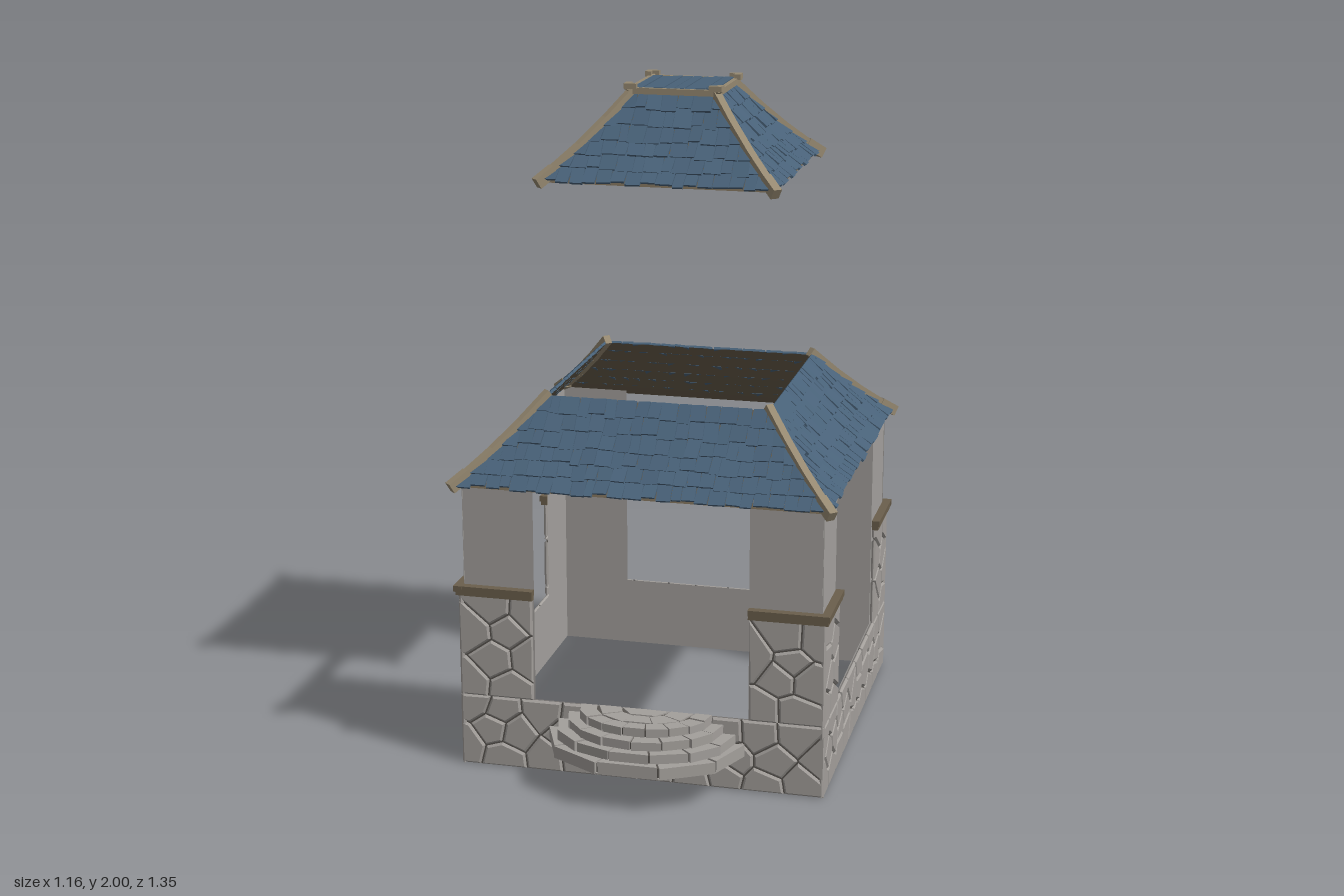
import * as THREE from 'three';
import { mergeGeometries } from 'three/addons/utils/BufferGeometryUtils.js';

export function createModel() {
  const model = new THREE.Group();
  const mat = (name, color, side = THREE.FrontSide) => {
    const m = new THREE.MeshStandardMaterial({ color, side });
    m.name = name;
    return m;
  };
  const stone = mat('stone', 0xa39f9b);
  const mortar = mat('mortar', 0x57534e, THREE.DoubleSide);
  const plaster = mat('plaster', 0xa3a09d, THREE.DoubleSide);
  const slate = mat('blue slate', 0x486178);
  const trim = mat('pale timber', 0x968971);
  const band = mat('brown timber', 0x6b5f4c);
  const lining = mat('roof lining', 0x655a48, THREE.DoubleSide);

  let seed = 7;
  const rnd = (a, b) => {
    seed = (seed * 16807) % 2147483647;
    return a + (b - a) * seed / 2147483647;
  };
  const add = (parent, name, geometry, material) => {
    const m = new THREE.Mesh(Array.isArray(geometry) ? mergeGeometries(geometry) : geometry, material);
    m.name = name;
    parent.add(m);
    return m;
  };
  const box = (w, h, d, x, y, z) => new THREE.BoxGeometry(w, h, d).translate(x, y, z);
  // Box running from point a to point b
  const beam = (a, b, w, h) => {
    const o = new THREE.Object3D();
    o.position.copy(a).add(b).multiplyScalar(0.5);
    o.lookAt(b);
    o.updateMatrix();
    return new THREE.BoxGeometry(w, h, a.distanceTo(b) + 0.006).applyMatrix4(o.matrix);
  };
  const shapeOf = pts => new THREE.Shape(pts.map(p => new THREE.Vector2(p[0], p[1])));

  // Keep the part of a polygon where n.p <= d
  const clip = (poly, nx, ny, d) => {
    const out = [];
    poly.forEach((p, i) => {
      const q = poly[(i + 1) % poly.length];
      const a = p[0] * nx + p[1] * ny - d, b = q[0] * nx + q[1] * ny - d;
      if (a <= 0) out.push(p);
      if (a * b < 0) out.push([p[0] + (q[0] - p[0]) * a / (a - b), p[1] + (q[1] - p[1]) * a / (a - b)]);
    });
    return out;
  };
  // Irregular rubble stones filling a rectangle
  const rubble = (x0, y0, x1, y1, nx, ny) => {
    const seeds = [], cw = (x1 - x0) / nx, ch = (y1 - y0) / ny, out = [];
    for (let j = 0; j < ny; j++) for (let i = 0; i < nx; i++) {
      const shift = j % 2 ? 0.7 : 0.3;
      seeds.push([x0 + (i + shift + rnd(-0.25, 0.25)) * cw, y0 + (j + 0.5 + rnd(-0.3, 0.3)) * ch]);
    }
    for (const s of seeds) {
      let poly = [[x0, y0], [x1, y0], [x1, y1], [x0, y1]];
      for (const q of seeds) {
        if (q === s) continue;
        const dx = q[0] - s[0], dy = q[1] - s[1], l = Math.hypot(dx, dy);
        const mid = (dx * (q[0] + s[0]) + dy * (q[1] + s[1])) / 2 / l;
        poly = clip(poly, dx / l, dy / l, mid - 0.0025);
      }
      if (poly.length < 3) continue;
      out.push(new THREE.ExtrudeGeometry(shapeOf(poly), {
        depth: 0.002, bevelThickness: 0.006, bevelSize: 0.006, bevelOffset: -0.006, bevelSegments: 1
      }).translate(0, 0, 0.542));
    }
    return out;
  };

  const house = new THREE.Group();
  house.name = 'house';
  house.position.z = -0.103;
  model.add(house);

  // U-shaped outline of one wall
  const outline = (w, e, top) => shapeOf([[-w, 0], [w, 0], [w, top], [e, top], [e, 0.22], [-e, 0.22], [-e, top], [-w, top]]);

  // Four identical walls with open centres
  for (let k = 0; k < 4; k++) {
    const wall = new THREE.Group();
    wall.name = 'wall';
    wall.rotation.y = k * Math.PI / 2;
    house.add(wall);
    add(wall, 'plasterWall', new THREE.ShapeGeometry(outline(0.537, 0.322, 0.89)).translate(0, 0, 0.535), plaster);
    add(wall, 'mortarBacking', new THREE.ShapeGeometry(outline(0.543, 0.326, 0.55)).translate(0, 0, 0.542), mortar);
    add(wall, 'wallStones', [
      ...rubble(-0.55, 0, 0.55, 0.22, 10, 3),
      ...rubble(-0.55, 0.22, -0.325, 0.545, 2, 4),
      ...rubble(0.325, 0.22, 0.55, 0.545, 2, 4)
    ], stone);
    add(wall, 'pillarBand', [-1, 1].flatMap(s => [
      box(0.24, 0.018, 0.025, s * 0.442, 0.556, 0.549),
      box(0.233, 0.012, 0.02, s * 0.439, 0.541, 0.547)
    ]), band);
  }

  // Hipped roof skirt with a gently sagging profile
  const hipRoof = (name, r0, r1, yTop, yEave, rows) => {
    const roof = new THREE.Group();
    roof.name = name;
    house.add(roof);
    const R = t => r1 + (r0 - r1) * t;
    const Y = t => yEave + (yTop - yEave) * (t - 0.2 * t * (1 - t));
    for (let k = 0; k < 4; k++) {
      const side = new THREE.Group();
      side.name = 'roofSide';
      side.rotation.y = k * Math.PI / 2;
      roof.add(side);

      const sheet = new THREE.PlaneGeometry(1, 1, 1, 5), sp = sheet.attributes.position;
      for (let i = 0; i < sp.count; i++) {
        const t = sp.getY(i) + 0.5;
        sp.setXYZ(i, sp.getX(i) * 2 * R(t), Y(t), R(t));
      }
      sheet.computeVertexNormals();
      add(side, 'roofLining', sheet, lining);

      const tiles = [];
      for (let j = 0; j < rows; j++) {
        const half = R(j / rows), n = Math.round(half * 2 / 0.042);
        const cuts = Array.from({ length: n + 1 }, (_, i) =>
          -half + 2 * half * (i + (i > 0 && i < n ? rnd(-0.22, 0.22) : 0)) / n);
        for (let i = 0; i < n; i++) {
          const g = new THREE.BoxGeometry(cuts[i + 1] - cuts[i] - 0.002, 0.008, 1), p = g.attributes.position;
          const t0 = (j + rnd(-0.15, 0.12)) / rows, t1 = Math.min((j + 1.3) / rows, 1);
          const lift = rnd(0.008, 0.013), skew = rnd(-0.005, 0.005), roll = rnd(-0.08, 0.08);
          for (let v = 0; v < p.count; v++) {
            const x = p.getX(v), z = p.getZ(v), t = t0 + (0.5 - z) * (t1 - t0);
            const l = 0.7 * (p.getY(v) + (z > 0 ? lift : 0.004) + x * roll);
            const u = (cuts[i] + cuts[i + 1]) / 2 + x + z * skew, r = R(t);
            p.setXYZ(v, Math.max(-r, Math.min(r, u)), Y(t) + l, r + l);
          }
          g.computeVertexNormals();
          tiles.push(g);
        }
      }
      add(side, 'roofTiles', tiles, slate);

      // Timber along the hip, in short lengths
      const at = t => new THREE.Vector3(R(t), Y(t) + 0.009, R(t));
      const ts = [-0.05, 0.12, 0.4, 0.7, 1];
      add(side, 'hipBeam', ts.slice(1).map((t, i) => beam(at(ts[i]), at(t), i ? 0.023 : 0.027, i ? 0.028 : 0.033)), trim);
    }
  };
  hipRoof('lowerRoof', 0.33, 0.55, 1.095, 0.868, 6);
  hipRoof('upperRoof', 0.12, 0.338, 1.968, 1.735, 6);

  // Flat cap: slats, frame and upturned corners
  const cap = new THREE.Group();
  cap.name = 'roofCap';
  house.add(cap);
  add(cap, 'capLining', new THREE.PlaneGeometry(0.24, 0.24).rotateX(-Math.PI / 2).translate(0, 1.967, 0), lining);
  add(cap, 'capSlats', Array.from({ length: 8 }, (_, i) =>
    box(0.028, 0.01, 0.25, -0.109 + i * 0.0311, 1.982 + rnd(-0.002, 0.002), 0)), slate);
  for (let k = 0; k < 4; k++) {
    const edge = new THREE.Group();
    edge.name = 'capEdge';
    edge.rotation.y = k * Math.PI / 2;
    cap.add(edge);
    add(edge, 'capFrame', [
      box(0.27, 0.018, 0.016, 0, 1.977, 0.129),
      box(0.036, 0.016, 0.018, 0.126, 1.991, 0.137),
      box(0.018, 0.016, 0.036, 0.137, 1.991, 0.126),
      beam(new THREE.Vector3(0.112, 1.968, 0.112), new THREE.Vector3(0.137, 1.987, 0.137), 0.016, 0.016)
    ], trim);
  }

  // Half-round entrance steps made of wedge blocks
  const steps = new THREE.Group();
  steps.name = 'entranceSteps';
  steps.position.set(0.02, 0, 0.447);
  model.add(steps);
  const wedge = (a0, a1, f0, f1, a, b, y, h) => {
    const pt = (ang, f) => [Math.cos(ang) * a * f, -Math.sin(ang) * b * f];
    const g = new THREE.ExtrudeGeometry(shapeOf([pt(a0, f0), pt(a0, f1), pt(a1, f1), pt(a1, f0)]), { depth: h, bevelEnabled: false });
    return g.rotateX(-Math.PI / 2).translate(0, y, 0);
  };
  const layers = [[0.11, 0.036, 0.3, 0.238, 5], [0.146, 0.03, 0.272, 0.212, 7], [0.176, 0.026, 0.235, 0.187, 8], [0.202, 0.026, 0.2, 0.15, 9]];
  layers.forEach(([y, h, a, b, n], k) => {
    const ring = (f0, f1, m) => Array.from({ length: m }, (_, i) =>
      wedge(Math.PI * i / m + 0.012, Math.PI * (i + 1) / m - 0.012, f0, f1 * (i % 2 ? 1 : 0.985), a, b, y, h + rnd(-0.002, 0.002)));
    const blocks = ring(0.74, 1, n);
    if (k === 3) blocks.push(...ring(0.38, 0.72, 5), ...ring(0.02, 0.36, 3));
    add(steps, 'stepStones', blocks, stone);
    add(steps, 'stepCore', Array.from({ length: n }, (_, i) =>
      wedge(Math.PI * i / n, Math.PI * (i + 1) / n, 0, 0.96, a, b, y + 0.001, h - 0.006)), mortar);
  });
  add(steps, 'stepBase', Array.from({ length: 5 }, (_, i) =>
    wedge(Math.PI * i / 5, Math.PI * (i + 1) / 5, 0, 0.985, 0.3, 0.238, 0.109, 0.004)), stone);
  return model;
}
